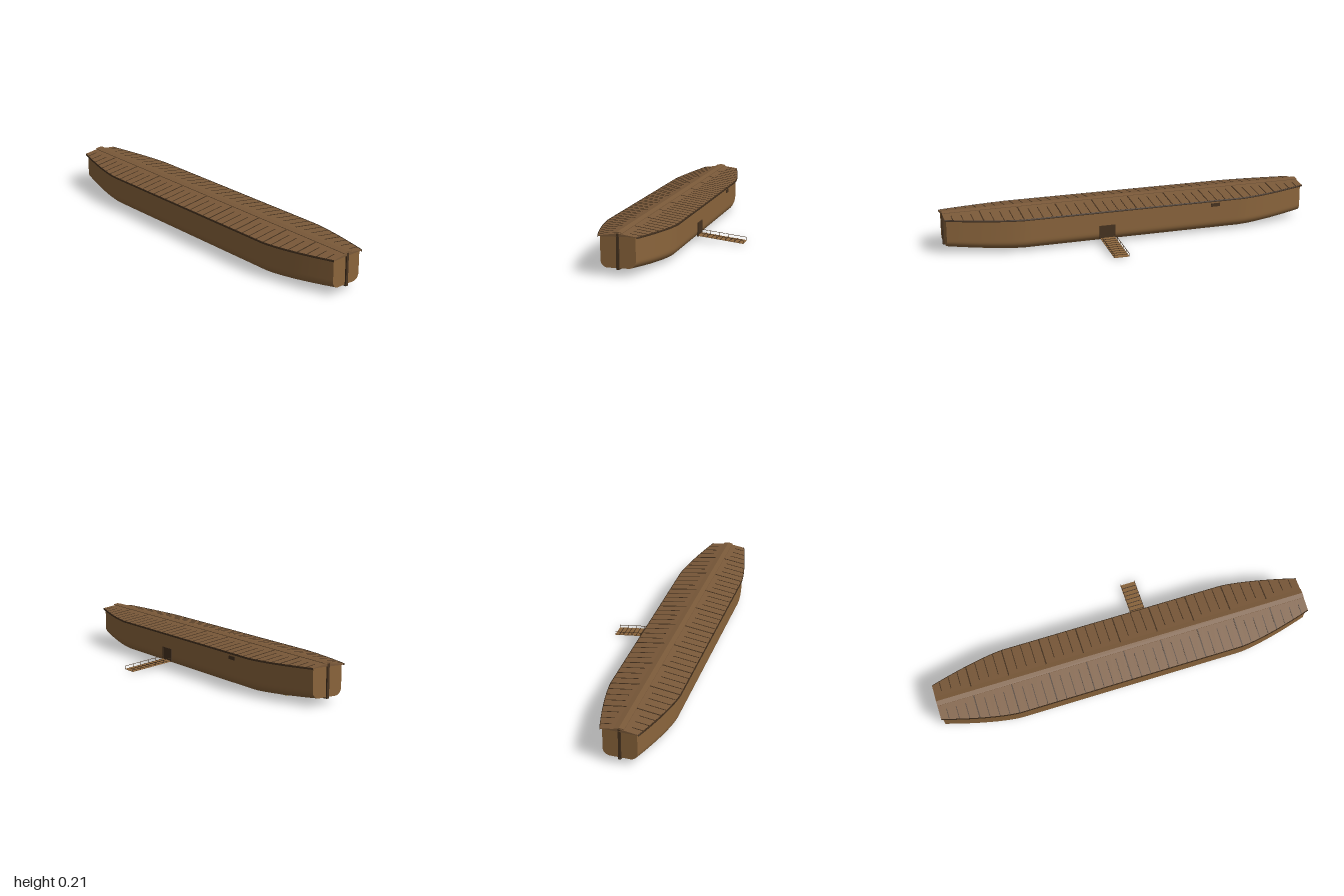
import * as THREE from 'three';

const mat = (color, flatShading = false) =>
  new THREE.MeshStandardMaterial({ color, flatShading, side: THREE.DoubleSide });
const WOOD = mat(0x8b653c), ROOF = mat(0x7a5939, true), DARK = mat(0x46321f), PALE = mat(0xa38a4a);

// Plan and keel curves: straight amidships, tapering beyond |x| = 0.6
const taper = x => Math.max(0, (Math.abs(x) - 0.6) / 0.4);
const hullHalf = x => 0.167 - 0.084 * taper(x) ** 1.4;
const roofHalf = x => 0.178 - 0.084 * taper(x) ** 1.4;
const bottomY = x => 0.012 + 0.027 * taper(x) ** 1.3;
const RIDGE = 0.203, SLOPE = 0.146;
const roofY = z => RIDGE - SLOPE * Math.abs(z);

// Skin a series of [z, y] sections along x
function loft(section, half, closed, n = 60) {
  const pos = [], idx = [];
  let m = 0;
  for (let i = 0; i <= n; i++) {
    const x = -half + (2 * half * i) / n;
    const pts = section(x);
    m = pts.length;
    pts.forEach(([z, y]) => pos.push(x, y, z));
  }
  const cols = closed ? m : m - 1;
  for (let i = 0; i < n; i++) {
    for (let j = 0; j < cols; j++) {
      const a = i * m + j, c = i * m + (j + 1) % m, b = a + m, d = c + m;
      idx.push(a, c, b, b, c, d);
    }
  }
  if (closed) {
    for (let j = 1; j < m - 1; j++) {
      idx.push(0, j + 1, j, n * m, n * m + j, n * m + j + 1);
    }
  }
  const g = new THREE.BufferGeometry();
  g.setAttribute('position', new THREE.Float32BufferAttribute(pos, 3));
  g.setIndex(idx);
  g.computeVertexNormals();
  return g;
}

// U-shaped hull section with rounded bilges
function hullSection(x) {
  const w = hullHalf(x), b = bottomY(x), r = 0.045 - 0.01 * Math.min(1, taper(x));
  const side = [[w, roofY(w) - 0.003], [w, b + r + 0.01]];
  for (let k = 0; k <= 8; k++) {
    const t = (k / 8) * Math.PI / 2;
    side.push([w - r + r * Math.cos(t), b + r - r * Math.sin(t)]);
  }
  side.push([w - r - 0.01, b]);
  return [...side, ...side.slice().reverse().map(([z, y]) => [-z, y])];
}

// Thin inverted-V section of the roof
function roofSection(x) {
  const w = roofHalf(x), e = roofY(w), t = 0.004;
  return [[-w, e], [0, RIDGE], [w, e], [w, e - t], [0, RIDGE - t], [-w, e - t]];
}

export function createModel() {
  const model = new THREE.Group();
  const ship = new THREE.Group();
  ship.name = 'ship';
  ship.position.z = 0.115;
  model.add(ship);

  const add = (name, geo, material, parent = ship) => {
    const m = new THREE.Mesh(geo, material);
    m.name = name;
    parent.add(m);
    return m;
  };
  const box = (name, size, p, material, parent = ship) => {
    const m = add(name, new THREE.BoxGeometry(...size), material, parent);
    m.position.set(...p);
    return m;
  };
  // Box stretched between two [z, y] points at a given x
  const beam = (name, x, [z0, y0], [z1, y1], width, thick, material, parent = ship) => {
    const dz = z1 - z0, dy = y1 - y0;
    const m = box(name, [width, thick, Math.hypot(dz, dy)],
      [x, (y0 + y1) / 2, (z0 + z1) / 2], material, parent);
    m.rotation.x = -Math.atan2(dy, dz);
    return m;
  };

  // Hull shell and flat ends
  const END = 0.992;
  add('hull', loft(hullSection, END, false), WOOD);
  for (const s of [-1, 1]) {
    const shape = new THREE.Shape(hullSection(END).map(([z, y]) => new THREE.Vector2(-s * z, y)));
    const transom = add('endWall', new THREE.ShapeGeometry(shape), WOOD);
    transom.rotation.y = s * Math.PI / 2;
    transom.position.x = s * END;
    box('endPost', [0.015, 0.168, 0.013], [s * 0.9925, 0.118, 0], DARK);
  }

  // Keel follows the underside
  add('keel', loft(x => {
    const b = bottomY(x), h = 0.0065;
    return [[h, b + 0.003], [h, b - 0.007], [-h, b - 0.007], [-h, b + 0.003]];
  }, 1, true), DARK);

  // Roof, eave boards and ridge cap
  add('roof', loft(roofSection, 1, true), ROOF);
  for (const s of [-1, 1]) {
    add('eaveBoard', loft(x => {
      const w = roofHalf(x), e = roofY(w);
      const z0 = s * w + 0.0015, z1 = s * w - 0.0015;
      return [[z0, e + 0.002], [z0, e - 0.007], [z1, e - 0.007], [z1, e + 0.002]];
    }, 1, true), DARK);
  }
  add('ridgeCap', loft(() => [
    [-0.025, 0.206], [0, 0.211], [0.025, 0.206], [0.025, 0.203], [0, 0.207], [-0.025, 0.203],
  ], 1, true, 1), ROOF);

  // Roof seams, with shorter battens between them
  const battens = new THREE.Group();
  battens.name = 'roofBattens';
  ship.add(battens);
  for (let k = -19; k <= 19; k++) {
    const x = k * 0.0505, w = roofHalf(x), major = k % 4 === 0;
    const z0 = major ? 0.024 : 0.05, z1 = w - (major ? 0.001 : 0.004);
    for (const s of [-1, 1]) {
      beam('roofBatten', x, [s * z0, roofY(z0) + 0.0004], [s * z1, roofY(z1) + 0.0004],
        major ? 0.006 : 0.004, 0.002, DARK, battens);
    }
  }

  // Vents under the front eave and a hatch at the back
  for (const [x, w] of [[-0.5, 0.24], [0, 0.44], [0.5, 0.24]]) {
    box('eaveVent', [w, 0.007, 0.004], [x, 0.174, 0.167], DARK);
  }
  box('sideHatch', [0.05, 0.018, 0.005], [-0.45, 0.15, -0.168], DARK);

  // Pale plates on the underside near both ends
  for (const sx of [-1, 1]) {
    for (const sz of [-1, 1]) {
      const p = box('bilgePlate', [0.08, 0.003, 0.022], [sx * 0.77, bottomY(0.77) - 0.001, sz * 0.085], PALE);
      p.rotation.z = sx * 0.04;
    }
  }

  // Side door with frame
  const X = 0.16, W = 0.08;
  box('door', [W, 0.068, 0.005], [X, 0.061, -0.168], DARK);
  for (const s of [-1, 1]) {
    box('doorJamb', [0.005, 0.07, 0.008], [X + s * W / 2, 0.062, -0.169], DARK);
  }
  box('doorLintel', [W + 0.005, 0.005, 0.008], [X, 0.096, -0.169], DARK);

  // Gangway: sloping deck, treads, posts and handrails
  const gangway = new THREE.Group();
  gangway.name = 'gangway';
  ship.add(gangway);
  const Z0 = -0.17, Z1 = -0.408;
  const at = (t, up = 0) => [Z0 + (Z1 - Z0) * t, 0.0305 - 0.0285 * t + up];
  beam('gangwayDeck', X, at(0), at(1), W, 0.003, WOOD, gangway);
  for (let k = 1; k < 10; k++) {
    const [z, y] = at(k / 10, 0.002);
    box('gangwayTread', [W, 0.002, 0.004], [X, y, z], DARK, gangway);
  }
  for (const s of [-1, 1]) {
    const x = X + s * (W / 2 - 0.001);
    beam('handrail', x, at(0, 0.017), at(1, 0.017), 0.002, 0.002, DARK, gangway);
    for (let k = 0; k <= 5; k++) {
      const [z, y] = at(k / 5, 0.0085);
      box('railPost', [0.002, 0.017, 0.002], [x, y, z], DARK, gangway);
    }
  }
  return model;
}
